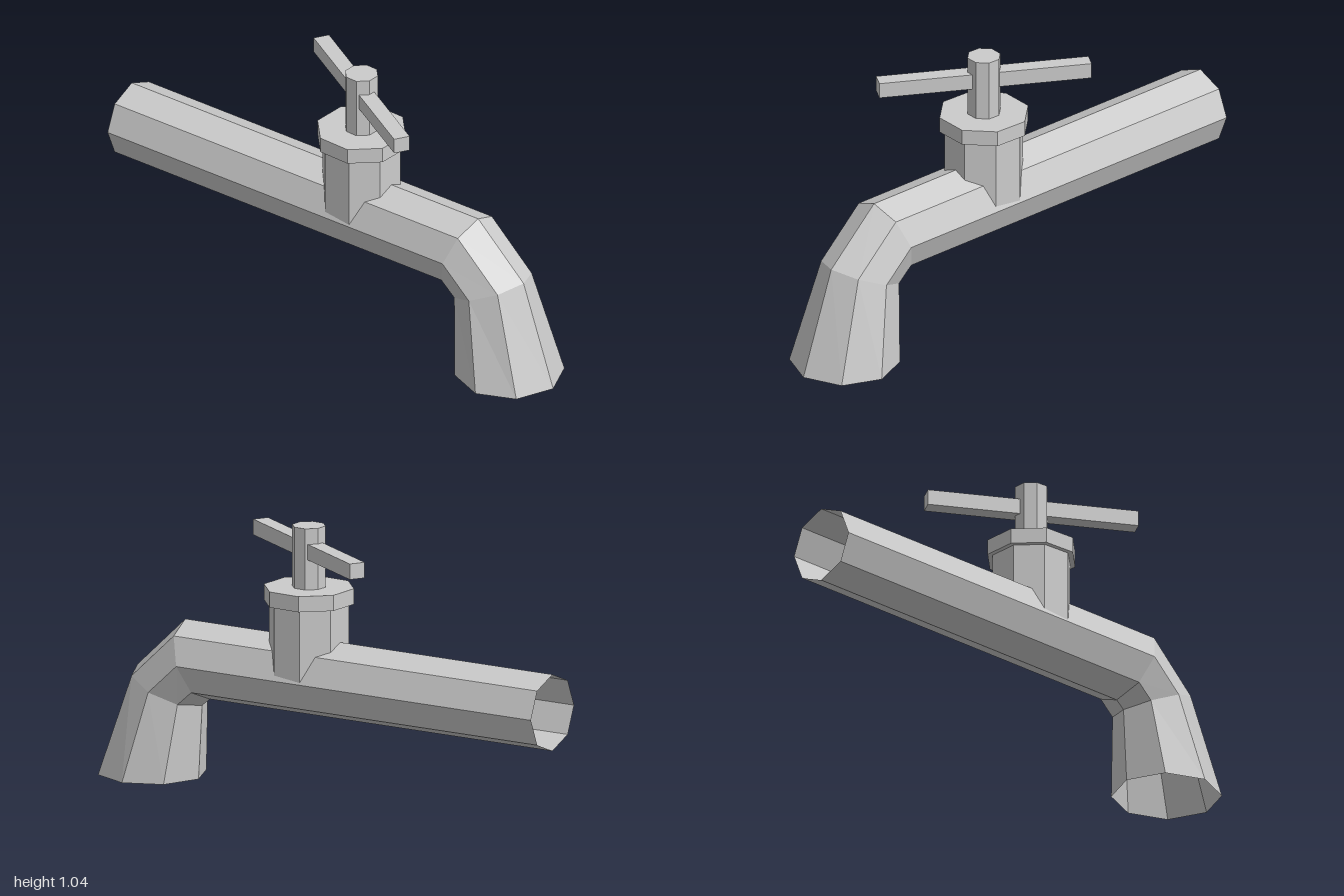
import * as THREE from 'three';

const material = new THREE.MeshStandardMaterial({ color: 0xcccccc, flatShading: true });
const openMaterial = new THREE.MeshStandardMaterial({ color: 0xcccccc, flatShading: true, side: THREE.DoubleSide });

const SIDES = 8;
const VALVE_X = 0.088;
const VALVE_TURN = THREE.MathUtils.degToRad(20);

// Open octagonal tube through rings of { centre, out (in the xy plane), half width in z }
function ringTube(rings) {
  const positions = [];
  const index = [];
  rings.forEach(({ centre, out, width }, i) => {
    for (let j = 0; j < SIDES; j++) {
      const a = (j / SIDES) * Math.PI * 2;
      positions.push(centre[0] + out[0] * Math.cos(a), centre[1] + out[1] * Math.cos(a), width * Math.sin(a));
      if (i === rings.length - 1) continue;
      const k = (j + 1) % SIDES;
      const p = i * SIDES + j, q = i * SIDES + k;
      index.push(p, q, p + SIDES, q, q + SIDES, p + SIDES);
    }
  });
  const geometry = new THREE.BufferGeometry();
  geometry.setAttribute('position', new THREE.Float32BufferAttribute(positions, 3));
  geometry.setIndex(index);
  geometry.computeVertexNormals();
  return geometry;
}

export function createModel() {
  const group = new THREE.Group();

  function add(name, geometry, mat = material) {
    const mesh = new THREE.Mesh(geometry, mat);
    mesh.name = name;
    group.add(mesh);
    return mesh;
  }

  // Octagonal prism standing on the valve axis
  function prism(name, radius, bottom, top) {
    const mesh = add(name, new THREE.CylinderGeometry(radius, radius, top - bottom, SIDES));
    mesh.position.set(VALVE_X, (bottom + top) / 2, 0);
    mesh.rotation.y = VALVE_TURN;
  }

  // Straight pipe bending down into a flared spout, open at both ends
  add('pipeAndSpout', ringTube([
    { centre: [-1, 0.461], out: [0, 0.147], width: 0.147 },
    { centre: [0.585, 0.461], out: [0.055, 0.147], width: 0.147 },
    { centre: [0.71, 0.345], out: [0.145, 0.06], width: 0.147 },
    { centre: [0.788, 0], out: [0.207, 0], width: 0.207 },
  ]), openMaterial);

  // Valve
  prism('valveBody', 0.153, 0.46, 0.745);
  prism('valveCollar', 0.173, 0.745, 0.805);
  prism('valveStem', 0.064, 0.805, 1.04);

  // Turning bar through the stem
  const handle = add('handle', new THREE.BoxGeometry(0.81, 0.06, 0.062));
  handle.position.set(VALVE_X, 0.95, 0);
  handle.rotation.y = THREE.MathUtils.degToRad(-30.3);

  return group;
}
